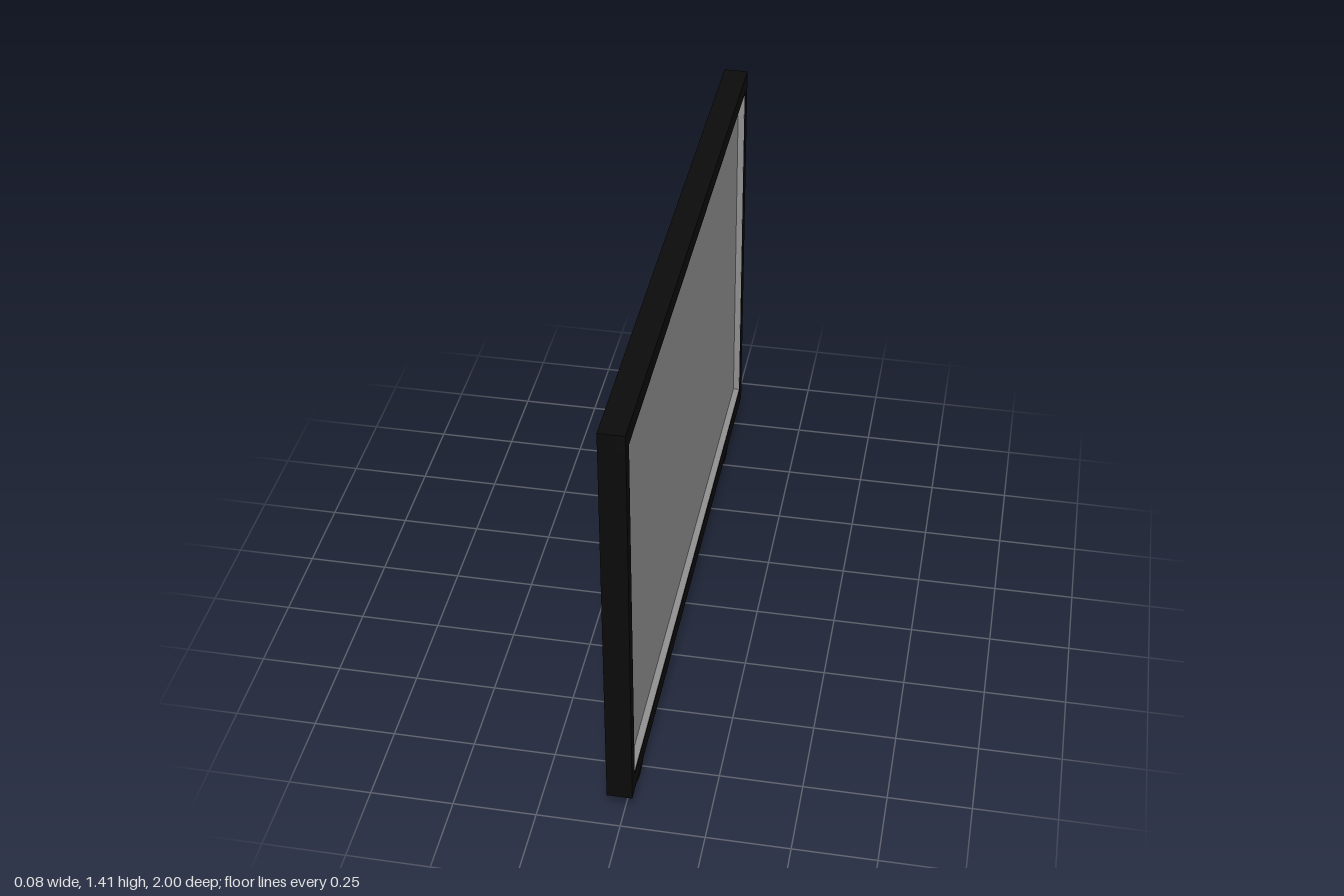
import * as THREE from 'three';

const HALF_T = 0.0375; // half thickness of the housing
const RECESS = 0.024;  // depth of the screen below the rim

export function createModel() {
  const group = new THREE.Group();
  const black = new THREE.MeshStandardMaterial({ color: 0x0b0b0b });
  black.name = 'black casing';
  const grey = new THREE.MeshStandardMaterial({ color: 0x909090 });
  grey.name = 'grey screen';

  const box = (name, mat, w, h, d, x, y, z) => {
    const mesh = new THREE.Mesh(new THREE.BoxGeometry(w, h, d), mat);
    mesh.name = name;
    mesh.position.set(x, y, z);
    group.add(mesh);
  };

  // Housing: closed back slab, with a raised rim around the screen on +x
  const y0 = 0.12, y1 = 1.415, s0 = 0.18, s1 = 1.36, sz = 0.96;
  const slab = 2 * HALF_T - RECESS;
  box('backPanel', black, slab, y1 - y0, 2, -RECESS / 2, (y0 + y1) / 2, 0);
  const rimX = HALF_T - RECESS / 2;
  box('bottomRim', black, RECESS, s0 - y0, 2, rimX, (y0 + s0) / 2, 0);
  box('topRim', black, RECESS, y1 - s1, 2, rimX, (s1 + y1) / 2, 0);
  for (const s of [-1, 1]) {
    box('sideRim', black, RECESS, s1 - s0, 1 - sz, rimX, (s0 + s1) / 2, s * (1 + sz) / 2);
  }

  // Screen and the thin grey lining on the recess walls
  const t = 0.002, sy = (s0 + s1) / 2, sh = s1 - s0;
  box('screen', grey, t, sh, 2 * sz, HALF_T - RECESS + t / 2, sy, 0);
  for (const s of [-1, 1]) {
    box('screenSideLining', grey, RECESS - t, sh, t, rimX - t / 2, sy, s * (sz - t / 2));
    box('screenEdgeLining', grey, RECESS - t, t, 2 * sz, rimX - t / 2, sy + s * (sh - t) / 2, 0);
  }

  // Round feet tucked into the underside
  const r = 0.083;
  const footGeo = new THREE.CylinderGeometry(r, r, 0.034, 32).rotateZ(Math.PI / 2);
  for (const s of [-1, 1]) {
    const foot = new THREE.Mesh(footGeo, black);
    foot.name = s > 0 ? 'frontFoot' : 'rearFoot';
    foot.position.set(0, r, s * 0.783);
    group.add(foot);
  }
  return group;
}
